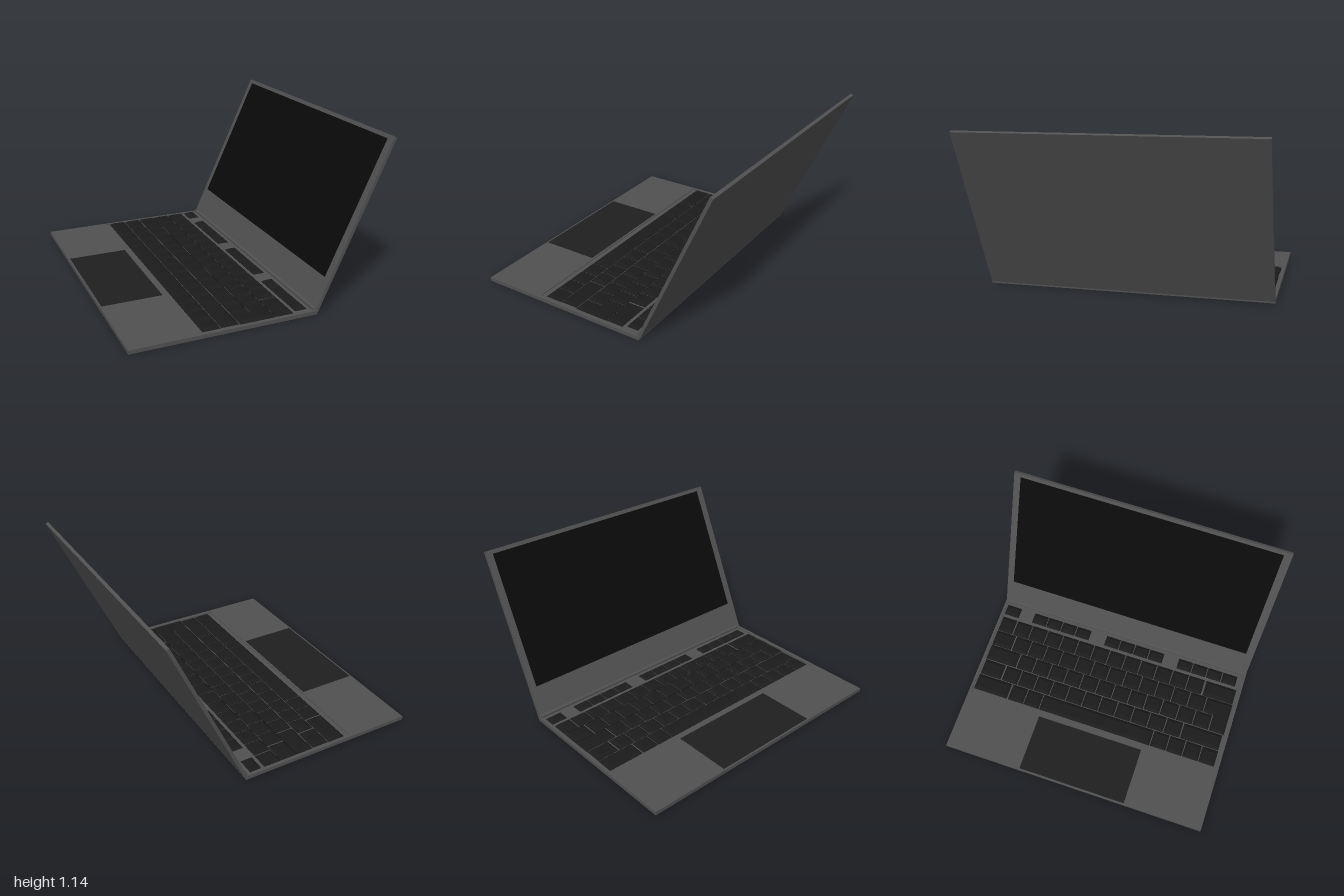
import * as THREE from 'three';

const mat = (color) => new THREE.MeshStandardMaterial({ color });

function add(parent, name, geometry, material, x = 0, y = 0, z = 0) {
  const mesh = new THREE.Mesh(geometry, material);
  mesh.name = name;
  mesh.position.set(x, y, z);
  parent.add(mesh);
  return mesh;
}

// Shape in plan from [x, z] corners; extruding it and laying it flat maps z correctly
const plan = (pts) => new THREE.Shape(pts.map(([x, z]) => new THREE.Vector2(x, -z)));
const rect = (x0, x1, z0, z1) => [[x0, z0], [x0, z1], [x1, z1], [x1, z0]];

// Keycap with sloped sides and a flat top
function keyGeometry(pts) {
  return new THREE.ExtrudeGeometry(plan(pts), {
    depth: 0.004, bevelEnabled: true, bevelSegments: 1,
    bevelThickness: 0.016, bevelSize: 0.022, bevelOffset: -0.022,
  }).rotateX(-Math.PI / 2);
}

export function createModel() {
  const model = new THREE.Group();
  model.name = 'laptop';
  model.rotation.x = 0.006; // slight lean

  const body = mat(0x505050);
  const keyMat = mat(0x1b1b1b);
  const padMat = mat(0x1f1f1f);
  const screenMat = mat(0x0a0a0a);

  // Base: solid lower shell plus a deck with the keyboard opening
  const base = new THREE.Group();
  base.name = 'base';
  model.add(base);
  add(base, 'lowerShell', new THREE.BoxGeometry(1.27, 0.02, 1.99), body, -0.258, 0.016, 0);
  const deck = plan(rect(-0.893, 0.377, -0.995, 0.995));
  deck.holes.push(plan(rect(-0.445, 0.358, -0.975, 0.968)));
  add(base, 'deck', new THREE.ExtrudeGeometry(deck, { depth: 0.006, bevelEnabled: false })
    .rotateX(-Math.PI / 2), body, 0, 0.026, 0);
  add(base, 'trackpad', new THREE.BoxGeometry(0.42, 0.004, 0.815), padMat, -0.67, 0.032, -0.004);

  // Keyboard: each row has an x range and runs of [z start, z end, number of keys]
  const rows = [
    [-0.407, -0.284, [[-0.968, -0.695, 1], [-0.69, -0.435, 2], [-0.435, 0.452, 1], [0.452, 0.958, 4]]],
    [-0.278, -0.157, [[-0.965, -0.795, 1], [-0.79, 0.648, 11], [0.65, 0.955, 1]]],
    [-0.15, -0.03, [[-0.968, -0.72, 1], [-0.717, 0.838, 12]]],
    [-0.026, 0.097, [[-0.968, -0.808, 1], [-0.804, 0.76, 12]]],
    [0.101, 0.222, [[-0.968, -0.845, 1], [-0.842, 0.708, 12], [0.716, 0.96, 1]]],
    [0.247, 0.329, [[-0.968, -0.845, 1], [-0.737, -0.257, 4], [-0.133, 0.347, 4], [0.462, 0.94, 4]]],
  ];
  const keyboard = new THREE.Group();
  keyboard.name = 'keyboard';
  base.add(keyboard);
  for (const [x0, x1, runs] of rows) {
    for (const [z0, z1, count] of runs) {
      const pitch = (z1 - z0) / count;
      const geometry = keyGeometry(rect(x0, x1, 0.003, pitch - 0.003));
      for (let i = 0; i < count; i++) {
        add(keyboard, 'key', geometry, keyMat, 0, 0.025, z0 + i * pitch);
      }
    }
  }
  // L-shaped key across two rows
  add(keyboard, 'enterKey', keyGeometry([
    [-0.15, 0.842], [-0.15, 0.96], [0.097, 0.96], [0.097, 0.763], [-0.026, 0.763], [-0.026, 0.842],
  ]), keyMat, 0, 0.025, 0);

  // Hinge along the rear edge
  add(model, 'hinge', new THREE.CylinderGeometry(0.014, 0.014, 1.96, 16).rotateX(Math.PI / 2),
    body, 0.371, 0.034, 0);

  // Lid: local x runs up the panel, local y points to the viewer's side
  const lid = new THREE.Group();
  lid.name = 'lid';
  lid.position.set(0.383, 0.018, 0);
  lid.rotation.z = Math.atan2(1.105, 0.505);
  model.add(lid);
  add(lid, 'lidPanel', new THREE.BoxGeometry(1.215, 0.022, 1.985), body, 0.6075, 0.011, 0);
  add(lid, 'screen', new THREE.BoxGeometry(0.965, 0.004, 1.88), screenMat, 0.705, 0.022, -0.004);

  return model;
}
